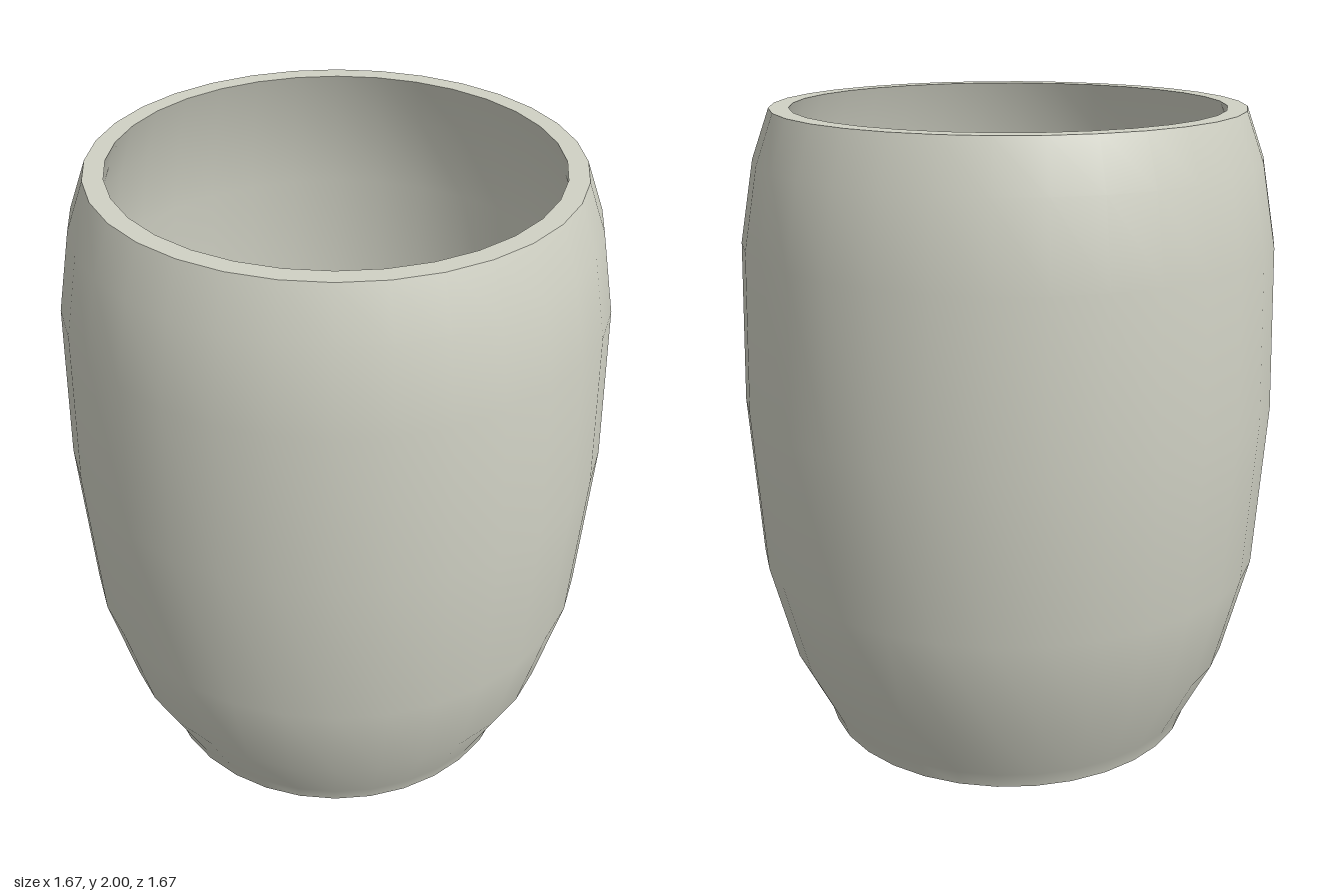
import * as THREE from 'three';
import { ParametricGeometry } from 'three/addons/geometries/ParametricGeometry.js';

const cupMaterial = new THREE.MeshStandardMaterial({ color: 0xd0d1c4 });
const grey = new THREE.MeshStandardMaterial({ color: 0xcccccc });

function addMesh(parent, name, geometry, material) {
  const mesh = new THREE.Mesh(geometry, material);
  mesh.name = name;
  parent.add(mesh);
  return mesh;
}

// Surface of revolution; separate pieces keep the edges between them sharp
function lathe(points) {
  return new THREE.LatheGeometry(points.map(([r, y]) => new THREE.Vector2(r, y)), 32);
}

function archCurve(points) {
  return new THREE.CatmullRomCurve3(points.map(([x, z]) => new THREE.Vector3(x, 0, z)));
}

// Horizontal direction pointing away from the inside of the arch
function outward(curve, t) {
  const d = curve.getTangentAt(t);
  return new THREE.Vector3(d.z, 0, -d.x);
}

// Horseshoe of gum with an oval section and rounded ends
function gumGeometry(curve, y, halfWidth, halfHeight) {
  return new ParametricGeometry((u, v, target) => {
    const end = 0.075;
    const edge = Math.min(1, Math.min(v, 1 - v) / end);
    const size = Math.sqrt(Math.max(0, 1 - (1 - edge) ** 2));
    const a = u * Math.PI * 2;
    const wide = Math.sign(Math.cos(a)) * Math.abs(Math.cos(a)) ** 0.8;
    const p = curve.getPointAt(v).addScaledVector(outward(curve, v), wide * halfWidth * size);
    target.set(p.x, y + Math.sin(a) * halfHeight * size, p.z);
  }, 16, 64);
}

// Row of rounded teeth along the outer side of an arch
function addTeeth(parent, name, curve, y, offset) {
  const row = new THREE.Group();
  row.name = name;
  const count = 16;
  for (let i = 0; i < count; i++) {
    const t = 0.09 + 0.82 * i / (count - 1);
    const out = outward(curve, t);
    const tooth = addMesh(row, 'tooth', new THREE.SphereGeometry(1, 12, 8), grey);
    tooth.scale.set(0.045, 0.07, 0.036);
    tooth.position.copy(curve.getPointAt(t)).addScaledVector(out, offset);
    tooth.position.y = y;
    tooth.rotation.y = Math.atan2(out.x, out.z);
  }
  parent.add(row);
}

export function createModel() {
  const model = new THREE.Group();

  // Barrel-shaped cup
  const cup = new THREE.Group();
  cup.name = 'cup';
  model.add(cup);
  addMesh(cup, 'cupBase', lathe([[0, 0], [0.6, 0]]), cupMaterial);
  addMesh(cup, 'cupOuterWall', lathe([
    [0.6, 0], [0.615, 0.05], [0.72, 0.26], [0.802, 0.58],
    [0.835, 1.1], [0.82, 1.6], [0.775, 1.85], [0.72, 2],
  ]), cupMaterial);
  addMesh(cup, 'cupRim', lathe([[0.72, 2], [0.66, 2]]), cupMaterial);
  addMesh(cup, 'cupInnerWall', lathe([
    [0.66, 2], [0.715, 1.84], [0.76, 1.59], [0.775, 1.1],
    [0.742, 0.6], [0.665, 0.29], [0.56, 0.08],
  ]), cupMaterial);
  addMesh(cup, 'cupFloor', lathe([[0.56, 0.08], [0, 0.08]]), cupMaterial);

  // Dentures lying in the cup, open towards the front
  const dentures = new THREE.Group();
  dentures.name = 'dentures';
  model.add(dentures);
  const upper = archCurve([
    [-0.43, 0.355], [-0.445, 0.22], [-0.41, 0.06], [-0.31, -0.11], [-0.15, -0.21],
    [0.02, -0.235], [0.2, -0.175], [0.33, -0.05], [0.4, 0.12], [0.43, 0.24], [0.39, 0.345],
  ]);
  const lower = archCurve([
    [-0.36, 0.37], [-0.4, 0.22], [-0.38, 0.05], [-0.29, -0.11], [-0.15, -0.2],
    [0.01, -0.21], [0.18, -0.17], [0.3, -0.06], [0.37, 0.11], [0.41, 0.25], [0.38, 0.345],
  ]);
  addMesh(dentures, 'lowerGum', gumGeometry(lower, 0.18, 0.105, 0.1), grey);
  addTeeth(dentures, 'lowerTeeth', lower, 0.28, 0.085);
  addTeeth(dentures, 'upperTeeth', upper, 0.39, 0.09);
  addMesh(dentures, 'upperGum', gumGeometry(upper, 0.49, 0.1, 0.1), grey);

  // Two balls resting above the dentures
  for (const [name, x] of [['rightBall', -0.165], ['leftBall', 0.145]]) {
    const ball = addMesh(model, name, new THREE.SphereGeometry(0.125, 10, 8), grey);
    ball.position.set(x, 0.64, -0.02);
  }
  return model;
}
